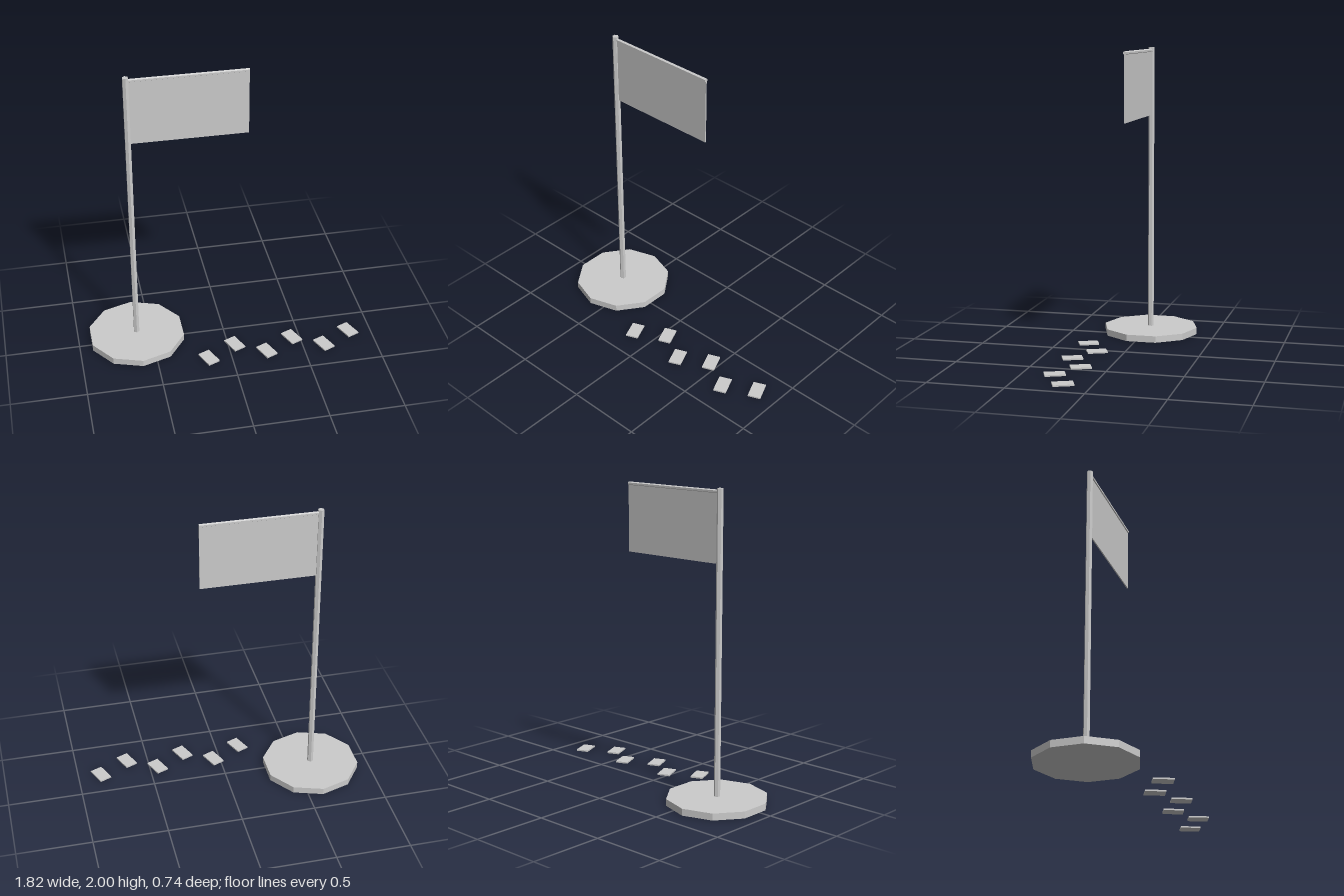
import * as THREE from 'three';

export function createModel() {
  const model = new THREE.Group();
  const grey = new THREE.MeshStandardMaterial({ color: 0xcccccc, flatShading: true });
  grey.name = 'lightGrey';

  const add = (name, geometry, x, y, z) => {
    const mesh = new THREE.Mesh(geometry, grey);
    mesh.name = name;
    mesh.position.set(x, y, z);
    model.add(mesh);
    return mesh;
  };

  const poleX = -0.6, poleZ = -0.042;

  // Ten-sided base disc and hexagonal pole
  add('base', new THREE.CylinderGeometry(0.33, 0.33, 0.045, 10), poleX, 0.0225, poleZ);
  add('pole', new THREE.CylinderGeometry(0.0205, 0.0205, 1.96, 6), poleX, 1.02, poleZ);

  // Banner hanging from a thin horizontal rod
  const length = 0.775, middleX = poleX + length / 2;
  const rod = add('bannerRod', new THREE.CylinderGeometry(0.012, 0.012, length, 6), middleX, 1.978, poleZ);
  rod.rotation.z = Math.PI / 2;
  rod.geometry.rotateY(Math.PI / 2);
  add('banner', new THREE.BoxGeometry(length, 0.445, 0.008), middleX, 1.7575, poleZ);

  // Staggered row of flat footsteps
  const step = new THREE.BoxGeometry(0.085, 0.01, 0.133);
  for (let i = 0; i < 6; i++) {
    const mesh = add('footstep' + (i + 1), step, -0.155 + i * 0.2, 0.005, i % 2 ? 0.18 : 0.292);
    mesh.rotation.y = 0.4;
  }

  return model;
}
